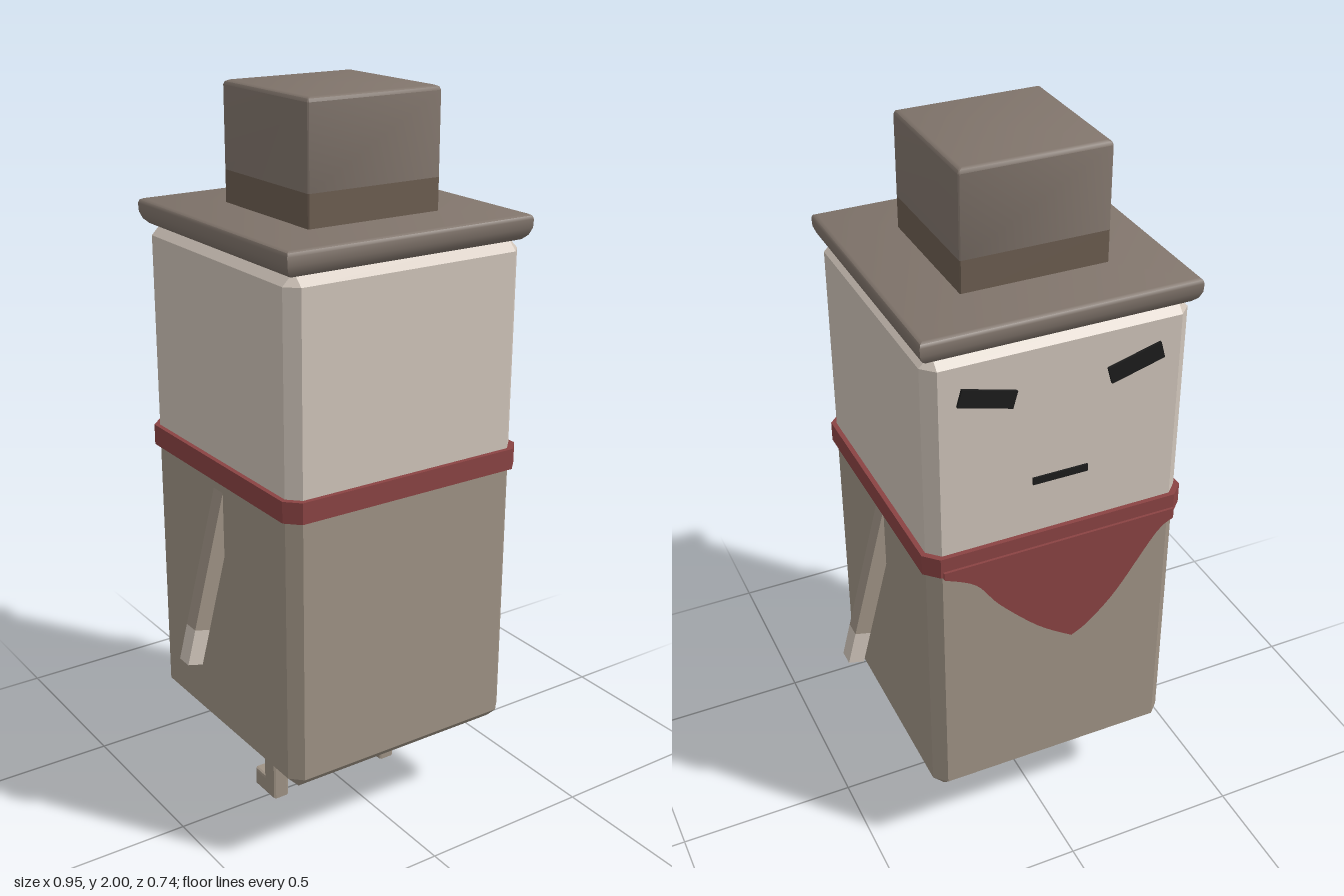
import * as THREE from 'three';
import { toCreasedNormals } from 'three/addons/utils/BufferGeometryUtils.js';

const colors = {
  skin: 0xcfc4b9, coat: 0x9f9385, hat: 0x80746b, hatBand: 0x6c5d50, scarf: 0x8a4343, ink: 0x1c1c1c,
};

function part(name, geometry, color) {
  const mesh = new THREE.Mesh(geometry, new THREE.MeshStandardMaterial({ color }));
  mesh.name = name;
  return mesh;
}

// Square ring of half width h with its corners cut by c
function ring([y, h, c]) {
  const k = h - c;
  return [[h, -k], [h, k], [k, h], [-k, h], [-h, k], [-h, -k], [-k, -h], [k, -h]]
    .map(([x, z]) => new THREE.Vector3(x, y, z));
}

// Closed solid through rings listed from bottom to top as [y, halfWidth, cornerCut]
function loft(sections, crease = 0) {
  const pos = [];
  const tri = (a, b, c) => {
    const area = b.clone().sub(a).cross(c.clone().sub(a)).length();
    if (area > 1e-9) for (const p of [a, b, c]) pos.push(p.x, p.y, p.z);
  };
  const rings = sections.map(ring);
  const last = rings.length - 1;
  const bottom = new THREE.Vector3(0, sections[0][0], 0);
  const top = new THREE.Vector3(0, sections[last][0], 0);
  for (let i = 0; i < 8; i++) {
    const j = (i + 1) % 8;
    for (let r = 0; r < last; r++) {
      const lo = rings[r], hi = rings[r + 1];
      tri(lo[i], hi[i], lo[j]);
      tri(lo[j], hi[i], hi[j]);
    }
    tri(bottom, rings[0][i], rings[0][j]);
    tri(top, rings[last][j], rings[last][i]);
  }
  const geometry = new THREE.BufferGeometry();
  geometry.setAttribute('position', new THREE.Float32BufferAttribute(pos, 3));
  geometry.computeVertexNormals();
  return crease ? toCreasedNormals(geometry, crease) : geometry;
}

export function createModel() {
  const model = new THREE.Group();
  model.name = 'boxMan';

  // Chamfered body and head
  const trunk = new THREE.Group();
  trunk.name = 'trunk';
  trunk.position.set(-0.003, 0, 0.004);
  trunk.add(
    part('body', loft([[0.247, 0.32, 0], [0.28, 0.352, 0.032], [1.04, 0.352, 0.032]]), colors.coat),
    part('head', loft([[1.04, 0.352, 0.032], [1.598, 0.352, 0.032], [1.63, 0.32, 0]]), colors.skin),
    part('scarfBand', loft([[1.013, 0.365, 0.036], [1.07, 0.365, 0.036]]), colors.scarf),
  );
  model.add(trunk);

  // Hat: rounded brim, band and crown
  const hat = new THREE.Group();
  hat.name = 'hat';
  hat.position.set(-0.003, 0, 0.003);
  hat.add(part('brim', loft([
    [1.62, 0.33, 0], [1.625, 0.345, 0], [1.637, 0.357, 0], [1.655, 0.364, 0],
    [1.677, 0.365, 0], [1.686, 0.362, 0], [1.69, 0.354, 0],
  ], 0.8), colors.hat));
  const crown = new THREE.Group();
  crown.name = 'crown';
  crown.position.set(-0.004, 0, 0.004);
  crown.add(
    part('hatBand', loft([[1.68, 0.196, 0.003], [1.775, 0.196, 0.003]]), colors.hatBand),
    part('crownTop', loft([
      [1.775, 0.196, 0.003], [1.988, 0.196, 0.003], [1.996, 0.193, 0.003], [2, 0.184, 0.003],
    ], 0.8), colors.hat),
  );
  hat.add(crown);
  model.add(hat);

  // Pointed scarf flap hanging over the chest
  const flap = new THREE.Shape();
  flap.moveTo(-0.33, 1.03);
  flap.lineTo(-0.33, 1.0);
  flap.splineThru([[-0.28, 0.965], [-0.17, 0.81], [-0.09, 0.73], [-0.04, 0.7]]
    .map(([x, y]) => new THREE.Vector2(x, y)));
  flap.splineThru([[0.06, 0.77], [0.17, 0.88], [0.235, 0.965], [0.32, 1.01]]
    .map(([x, y]) => new THREE.Vector2(x, y)));
  flap.lineTo(0.32, 1.03);
  const flapGeometry = new THREE.ExtrudeGeometry(flap, { depth: 0.025, bevelEnabled: false, curveSegments: 4 });
  const scarfFlap = part('scarfFlap', flapGeometry, colors.scarf);
  scarfFlap.position.z = -0.368;
  model.add(scarfFlap);

  // Mouth
  const mouth = part('mouth', new THREE.BoxGeometry(0.15, 0.02, 0.02), colors.ink);
  mouth.position.set(-0.003, 1.225, -0.343);
  model.add(mouth);

  // L-shaped leg profile, toe pointing to -z
  const legShape = new THREE.Shape([
    [-0.022, 0.008], [0.064, 0.008], [0.064, 0.047], [0.014, 0.047], [0.014, 0.26], [-0.022, 0.26],
  ].map(([x, y]) => new THREE.Vector2(x, y)));
  const legGeometry = new THREE.ExtrudeGeometry(legShape, {
    depth: 0.036, bevelThickness: 0.008, bevelSize: 0.008, bevelSegments: 2,
  }).translate(0, 0, -0.018).rotateY(Math.PI / 2);

  // Paired parts
  for (const [side, s] of [['left', 1], ['right', -1]]) {
    const eye = part(side + 'Eye', new THREE.BoxGeometry(0.148, 0.047, 0.02), colors.ink);
    eye.position.set(s * 0.197 - 0.003, 1.497, -0.345);
    eye.rotation.z = s * 0.27;
    model.add(eye);

    const arm = new THREE.Group();
    arm.name = side + 'Arm';
    arm.position.set(s * 0.453, 0.507, -0.002);
    arm.rotation.z = s * 0.25;
    const hand = part(side + 'Hand', new THREE.BoxGeometry(0.045, 0.1, 0.046), colors.skin);
    hand.position.y = 0.05;
    const sleeve = part(side + 'Sleeve', new THREE.BoxGeometry(0.045, 0.42, 0.046), colors.coat);
    sleeve.position.y = 0.31;
    arm.add(hand, sleeve);
    model.add(arm);

    const leg = part(side + 'Leg', legGeometry, colors.coat);
    leg.position.set(s * 0.186 - 0.008, 0, 0);
    model.add(leg);
  }

  return model;
}
